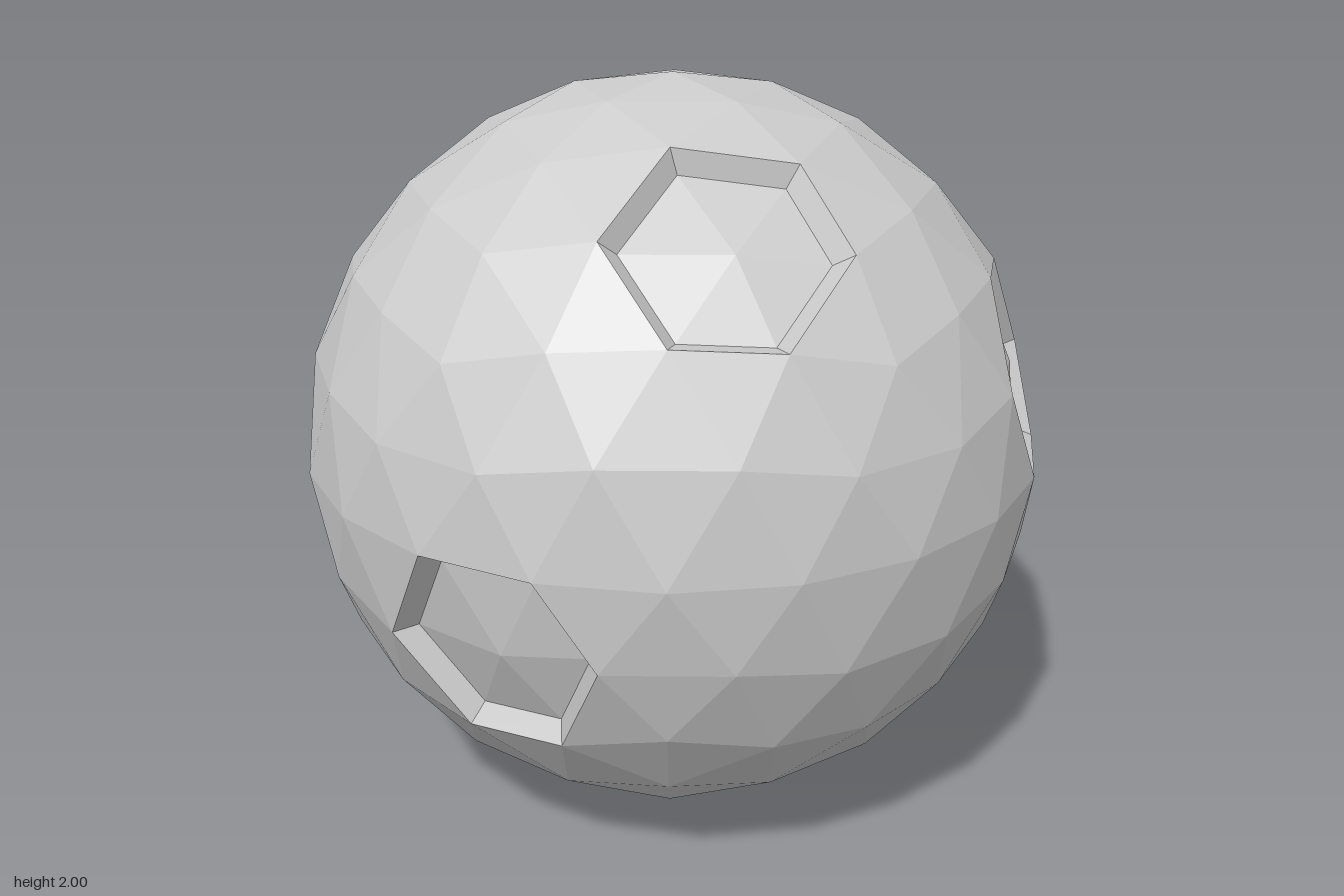
import * as THREE from 'three';

const material = new THREE.MeshStandardMaterial({ color: 0xcccccc, flatShading: true });

// Flat-shaded mesh from a list of corner triples
function facetMesh(name, triangles) {
  const geometry = new THREE.BufferGeometry().setFromPoints(triangles.flat());
  geometry.computeVertexNormals();
  const mesh = new THREE.Mesh(geometry, material);
  mesh.name = name;
  return mesh;
}

// Order the corners so that the face looks away from the centre
function outward([a, b, c]) {
  const n = b.clone().sub(a).cross(c.clone().sub(a));
  return n.dot(a) > 0 ? [a, b, c] : [a, c, b];
}

// Icosahedron standing on a point: two poles and two rings of five
function icosahedronFaces() {
  const top = new THREE.Vector3(0, 1, 0), bottom = new THREE.Vector3(0, -1, 0);
  const h = 1 / Math.sqrt(5), r = 2 * h;
  const ring = (y, turn) => Array.from({ length: 5 }, (_, i) => {
    const a = (i * 2 + turn) * Math.PI / 5;
    return new THREE.Vector3(r * Math.cos(a), y, r * Math.sin(a));
  });
  const upper = ring(h, 0), lower = ring(-h, 1);
  const faces = [];
  for (let i = 0; i < 5; i++) {
    const j = (i + 1) % 5;
    faces.push([top, upper[i], upper[j]], [upper[i], upper[j], lower[i]],
      [lower[i], lower[j], upper[j]], [bottom, lower[i], lower[j]]);
  }
  return faces.map(outward);
}

// Split every face in four, pushing the edge midpoints onto the sphere
function subdivide(faces) {
  const mid = (p, q) => p.clone().add(q).normalize();
  return faces.flatMap(([a, b, c]) => {
    const ab = mid(a, b), bc = mid(b, c), ca = mid(c, a);
    return [[a, ab, ca], [ab, b, bc], [ca, bc, c], [ab, bc, ca]];
  });
}

// Approximate pocket centres; each takes the nearest sphere corner
const POCKETS = [
  [0.64, 0.72, 0.26], [-0.59, 0, 0.81], [0.43, -0.27, 0.86], [0.67, 0.28, -0.67],
  [-0.72, 0.45, -0.53], [-0.28, -0.45, -0.85], [0.22, -0.96, -0.16],
];
const INSET = 0.84, DEPTH = 0.055;

export function createModel() {
  const model = new THREE.Group();
  model.name = 'pittedSphere';
  const body = new THREE.Group();
  body.position.y = 1;
  model.add(body);

  let shell = subdivide(subdivide(icosahedronFaces()));

  POCKETS.forEach((p, i) => {
    const target = new THREE.Vector3(...p);
    const centre = shell.flat().reduce((best, v) =>
      v.distanceToSquared(target) < best.distanceToSquared(target) ? v : best);
    const isCentre = (v) => v.distanceToSquared(centre) < 1e-8;

    // Faces around the centre become the sunken floor
    const fan = shell.filter((f) => f.some(isCentre));
    shell = shell.filter((f) => !f.some(isCentre));

    const sink = (v) => v.clone().sub(centre).multiplyScalar(INSET)
      .add(centre).addScaledVector(centre, -DEPTH);
    const floor = [], walls = [];
    for (const face of fan) {
      floor.push(face.map(sink));
      const k = face.findIndex(isCentre);
      const a = face[(k + 1) % 3], b = face[(k + 2) % 3];
      const a2 = sink(a), b2 = sink(b);
      walls.push([a, b, b2], [a, b2, a2]);
    }
    const pocket = new THREE.Group();
    pocket.name = `pocket${i + 1}`;
    pocket.add(facetMesh('pocketFloor', floor), facetMesh('pocketWall', walls));
    body.add(pocket);
  });

  body.add(facetMesh('sphereShell', shell));
  return model;
}
